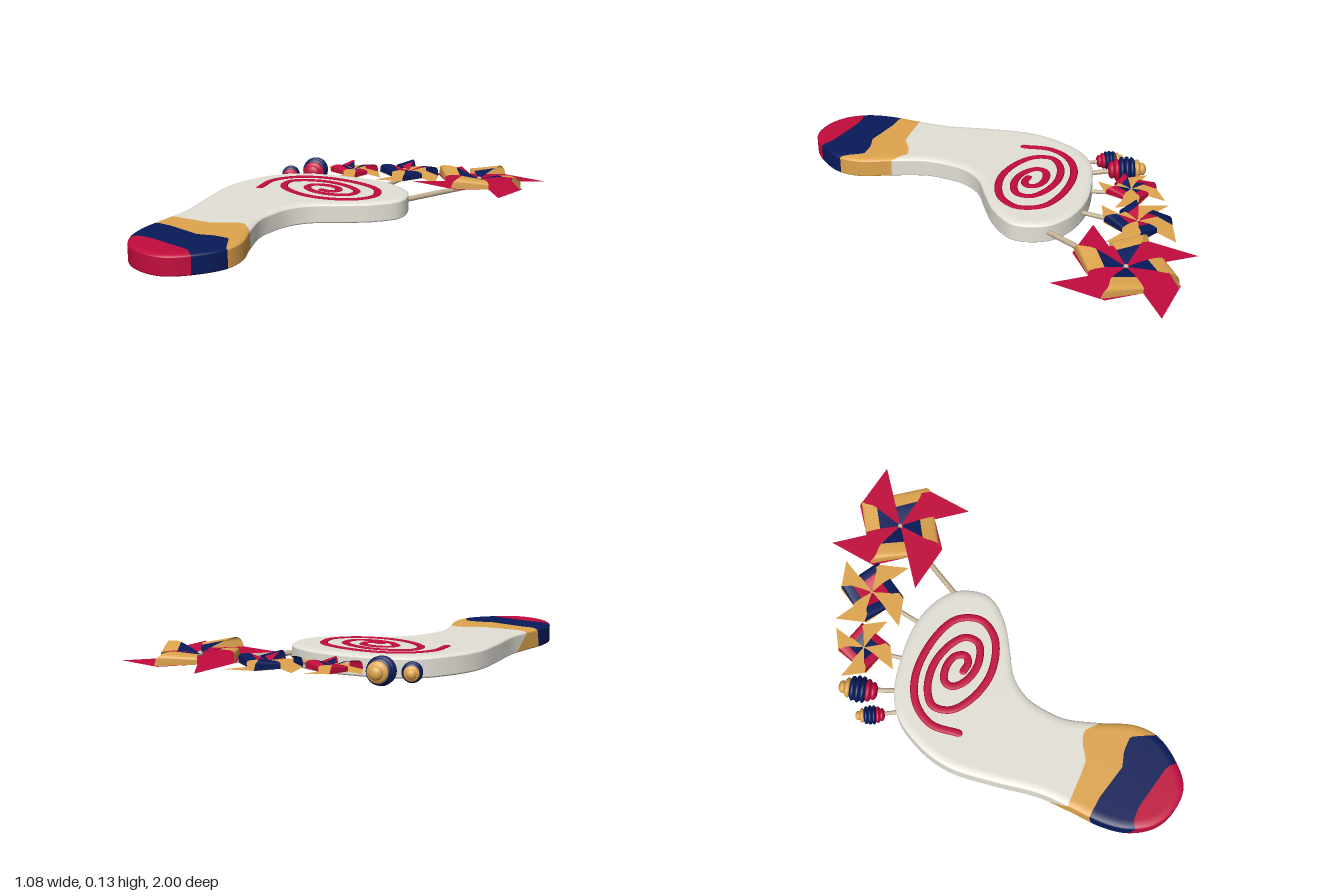
import * as THREE from 'three';

const mat = (name, color) => {
  const m = new THREE.MeshStandardMaterial({ color, side: THREE.DoubleSide });
  m.name = name;
  return m;
};
const M = {
  white: mat('offWhite', 0xe4e1d7), tan: mat('tan', 0xdfa54e), navy: mat('navy', 0x081a5a),
  red: mat('crimson', 0xc20b3d), wood: mat('paleWood', 0xc4b196),
};
const V = (x, y, z) => new THREE.Vector3(x, y, z);

function add(parent, name, geo, material) {
  const mesh = new THREE.Mesh(geo, material);
  mesh.name = name;
  parent.add(mesh);
  return mesh;
}

// Grid surface from a function p(s, t), with t running between t0 and t1
function sheet(p, ns, nt, t0 = 0, t1 = 1) {
  const pos = [], idx = [];
  for (let i = 0; i <= ns; i++)
    for (let j = 0; j <= nt; j++) pos.push(...p(i / ns, t0 + (t1 - t0) * j / nt).toArray());
  for (let i = 0; i < ns; i++)
    for (let j = 0; j < nt; j++) {
      const a = i * (nt + 1) + j, b = a + nt + 1;
      idx.push(a, a + 1, b, b, a + 1, b + 1);
    }
  const g = new THREE.BufferGeometry();
  g.setAttribute('position', new THREE.Float32BufferAttribute(pos, 3));
  g.setIndex(idx);
  g.computeVertexNormals();
  return g;
}

// ---- Foot slab ----
const H = 0.093;
const OUTLINE = [[0, -.395], [.1, -.385], [.19, -.34], [.25, -.22], [.2, -.1], [.11, 0], [.01, .1], [-.03, .2],
  [-.03, .29], [-.01, .39], [.07, .53], [.15, .65], [.17, .75], [.13, .87], [.055, .965], [-.045, .99],
  [-.145, .965], [-.225, .89], [-.27, .79], [-.3, .635], [-.33, .5], [-.405, .32], [-.465, .16], [-.48, .07],
  [-.475, -.03], [-.435, -.17], [-.36, -.26], [-.235, -.33], [-.1, -.38]];

// Colour borders across the heel: wavy on top, straight underneath
const BORDERS = [
  { low: .53, top: [[-.31, .63], [-.15, .59], [-.1, .575], [-.05, .52], [0, .49], [.08, .53]] },
  { low: .745, top: [[-.29, .73], [-.2, .715], [-.03, .715], [.03, .68], [.1, .665], [.17, .745]] },
  { low: .89, top: [[-.22, .915], [-.19, .885], [-.13, .87], [.08, .865], [.12, .885], [.14, .895]] },
];
function borderZ({ low, top }, x, y) {
  let z = top[0][1];
  for (let i = 1; i < top.length; i++) {
    const [x0, z0] = top[i - 1], [x1, z1] = top[i];
    if (x > x0) z = z0 + (z1 - z0) * Math.min(1, (x - x0) / (x1 - x0));
  }
  return low + (z - low) * Math.min(1, y / (H * 0.7));
}

// Keeps the part of a polygon where f > 0
function clip(poly, f) {
  const out = [];
  poly.forEach((a, i) => {
    const b = poly[(i + 1) % poly.length], fa = f(a.p), fb = f(b.p);
    if (fa > 0) out.push(a);
    if ((fa > 0) !== (fb > 0)) {
      const k = fa / (fa - fb);
      out.push({ p: a.p.clone().lerp(b.p, k), n: a.n.clone().lerp(b.n, k).normalize() });
    }
  });
  return out;
}

function footTriangles() {
  const N = 180, tris = [];
  const curve = new THREE.CatmullRomCurve3(OUTLINE.map(([x, z]) => V(x, 0, z)), true);
  const pts = curve.getSpacedPoints(N).slice(0, N);
  const outs = pts.map((p, i) => {
    const t = pts[(i + 1) % N].clone().sub(pts[(i + N - 1) % N]).normalize();
    return V(t.z, 0, -t.x);
  });
  const quad = (a, b, c, d) => [[a, b, c], [a, c, d]].forEach(t => {
    const n = t[1].p.clone().sub(t[0].p).cross(t[2].p.clone().sub(t[0].p));
    if (n.length() > 1e-10) tris.push(n.dot(t[0].n) > 0 ? t : [t[0], t[2], t[1]]);
  });
  // upright wall with a shallow, wide rounding below and above
  const rings = [];
  for (const [rx, ry, y0, from] of [[.02, .01, .01, -Math.PI / 2], [.04, .014, H - .014, 0]])
    for (let k = 0; k <= 6; k++) {
      const a = from + k / 6 * Math.PI / 2, c = Math.cos(a), s = Math.sin(a);
      rings.push(pts.map((p, i) => ({
        p: p.clone().addScaledVector(outs[i], rx * (c - 1) + .007).setY(y0 + ry * s),
        n: outs[i].clone().multiplyScalar(c / rx).setY(s / ry).normalize(),
      })));
    }
  for (let k = 1; k < rings.length; k++)
    for (let i = 0; i < N; i++) {
      const j = (i + 1) % N;
      quad(rings[k - 1][i], rings[k - 1][j], rings[k][j], rings[k][i]);
    }
  // flat sole and top, filled in rows from one edge to the other
  for (const [ring, ny] of [[rings[0], -1], [rings[rings.length - 1], 1]]) {
    const at = (i, j) => ({ p: ring[i].p.clone().lerp(ring[(N - i) % N].p, j / 14), n: V(0, ny, 0) });
    for (let i = 0; i < N / 2; i++)
      for (let j = 0; j < 14; j++) quad(at(i, j), at(i, j + 1), at(i + 1, j + 1), at(i + 1, j));
  }
  return tris;
}

function makeFoot() {
  const g = new THREE.Group();
  g.name = 'foot';
  const tris = footTriangles();
  [['footBody', M.white], ['tanBand', M.tan], ['navyBand', M.navy], ['heelCap', M.red]].forEach(([name, m], k) => {
    const pos = [], nor = [];
    for (const t of tris) {
      let poly = t;
      if (k > 0) poly = clip(poly, p => p.z - borderZ(BORDERS[k - 1], p.x, p.y));
      if (k < 3) poly = clip(poly, p => borderZ(BORDERS[k], p.x, p.y) - p.z);
      for (let i = 2; i < poly.length; i++)
        for (const v of [poly[0], poly[i - 1], poly[i]]) {
          pos.push(...v.p.toArray());
          nor.push(...v.n.toArray());
        }
    }
    const geo = new THREE.BufferGeometry();
    geo.setAttribute('position', new THREE.Float32BufferAttribute(pos, 3));
    geo.setAttribute('normal', new THREE.Float32BufferAttribute(nor, 3));
    add(g, name, geo, m);
  });
  // low raised spiral on the ball of the foot
  const path = [[-.335, .07], [-.375, -.05], [-.34, -.16], [-.235, -.245], [-.05, -.285], [.08, -.26], [.14, -.17],
    [.105, -.07], [-.02, .01], [-.155, .022], [-.27, -.02], [-.305, -.095], [-.26, -.16], [-.155, -.21], [-.035, -.21],
    [.035, -.175], [.045, -.115], [-.025, -.06], [-.12, -.05], [-.185, -.085], [-.185, -.125], [-.13, -.16],
    [-.065, -.16], [-.035, -.125], [-.055, -.095], [-.1, -.088]].map(([x, z]) => V(x, 0, z));
  const spiral = new THREE.Group();
  spiral.name = 'spiral';
  add(spiral, 'spiralLine', new THREE.TubeGeometry(new THREE.CatmullRomCurve3(path), 260, .017, 8), M.red);
  for (const p of [path[0], path[path.length - 1]])
    add(spiral, 'spiralEnd', new THREE.SphereGeometry(.017, 10, 8), M.red).position.copy(p);
  spiral.position.y = H;
  spiral.scale.y = .25;
  g.add(spiral);
  return g;
}

function stick(parent, a, b, r) {
  const d = b.clone().sub(a);
  const s = add(parent, 'stick', new THREE.CylinderGeometry(r, r, d.length(), 12), M.wood);
  s.position.copy(a).addScaledVector(d, 0.5);
  s.quaternion.setFromUnitVectors(V(0, 1, 0), d.normalize());
}

// ---- Pinwheel toe: four blades, each with one corner curled to the middle ----
function pinwheel({ c, r, angle, h, tilt, root, rod, blade, outer, inner }) {
  const g = new THREE.Group(), wheel = new THREE.Group();
  g.name = 'pinwheelToe';
  wheel.name = 'pinwheel';
  wheel.position.copy(c);
  wheel.rotation.x = tilt;
  for (let k = 0; k < 4; k++) {
    const a = angle + k * Math.PI / 2, b = a - Math.PI / 2;
    const tip = V(r * Math.cos(a), 0, r * Math.sin(a)), prev = V(r * Math.cos(b), 0, r * Math.sin(b));
    const mid = tip.clone().add(prev).multiplyScalar(.5), half = prev.clone().multiplyScalar(.5);
    const fold = mid.clone().lerp(tip, .08);
    const out = mid.clone().sub(half).cross(V(0, 1, 0)).normalize();
    if (out.dot(mid) < 0) out.negate();
    const flat = (s, t) => V(0, 0, 0).lerp(s < .5 ? half.clone().lerp(mid, s * 2) : mid.clone().lerp(tip, s * 2 - 1), t);
    const curl = (s, t) => half.clone().lerp(fold, s).multiplyScalar(1 - t)
      .addScaledVector(out, r * .06 * Math.sin(Math.PI * Math.min(1, t * 3)))
      .setY(h * (.65 + .45 * s) * Math.sin(Math.PI * Math.sqrt(t)) + .012 * t);
    add(wheel, 'blade', sheet(flat, 2, 1), blade);
    add(wheel, 'curlOuter', sheet(curl, 4, 8, 0, .42), outer);
    add(wheel, 'curlInner', sheet(curl, 4, 6, .42, 1), inner);
  }
  const pin = add(wheel, 'pin', new THREE.SphereGeometry(r * .035, 12, 8), M.wood);
  pin.position.y = .012;
  g.add(wheel);
  stick(g, root, c.clone().add(V(0, -rod - .003, 0)), rod);
  return g;
}

// ---- Small toe: ribbed bulb on a stick ----
function bulbToe({ root, start, end, r, rod }) {
  const g = new THREE.Group(), bulb = new THREE.Group();
  g.name = 'bulbToe';
  bulb.name = 'ribbedBulb';
  const d = end.clone().sub(start), len = d.length();
  bulb.position.copy(start);
  bulb.quaternion.setFromUnitVectors(V(0, 1, 0), d.clone().normalize());
  [[.66, M.red], [.85, M.red], [.98, M.navy], [1, M.navy], [.92, M.navy], [.75, M.tan], [.48, M.tan]].forEach(([f, m], i) => {
    const rib = add(bulb, 'rib', new THREE.SphereGeometry(1, 24, 12), m);
    rib.scale.set(r * f, len * .115, r * f);
    rib.position.y = len * (.08 + i * .14);
  });
  g.add(bulb);
  stick(g, root, start.clone().lerp(end, .3), rod);
  return g;
}

export function createModel() {
  const model = new THREE.Group();
  model.name = 'footWithPinwheelToes';
  model.add(makeFoot());
  model.add(pinwheel({ c: V(.29, .07, -.755), r: .322, angle: Math.atan2(-.25, .205), h: .04, tilt: -.055,
    root: V(.17, .048, -.3), rod: .012, blade: M.red, outer: M.tan, inner: M.navy }));
  model.add(pinwheel({ c: V(-.045, .067, -.65), r: .203, angle: Math.atan2(-.195, .052), h: .034, tilt: 0,
    root: V(-.02, .048, -.33), rod: .01, blade: M.tan, outer: M.navy, inner: M.red }));
  model.add(pinwheel({ c: V(-.272, .064, -.51), r: .163, angle: -Math.PI / 2, h: .028, tilt: 0,
    root: V(-.18, .048, -.3), rod: .009, blade: M.tan, outer: M.red, inner: M.navy }));
  model.add(bulbToe({ root: V(-.31, .05, -.24), start: V(-.395, .06, -.34), end: V(-.475, .068, -.48), r: .06, rod: .011 }));
  model.add(bulbToe({ root: V(-.38, .05, -.18), start: V(-.455, .05, -.25), end: V(-.533, .053, -.342), r: .043, rod: .009 }));
  return model;
}
